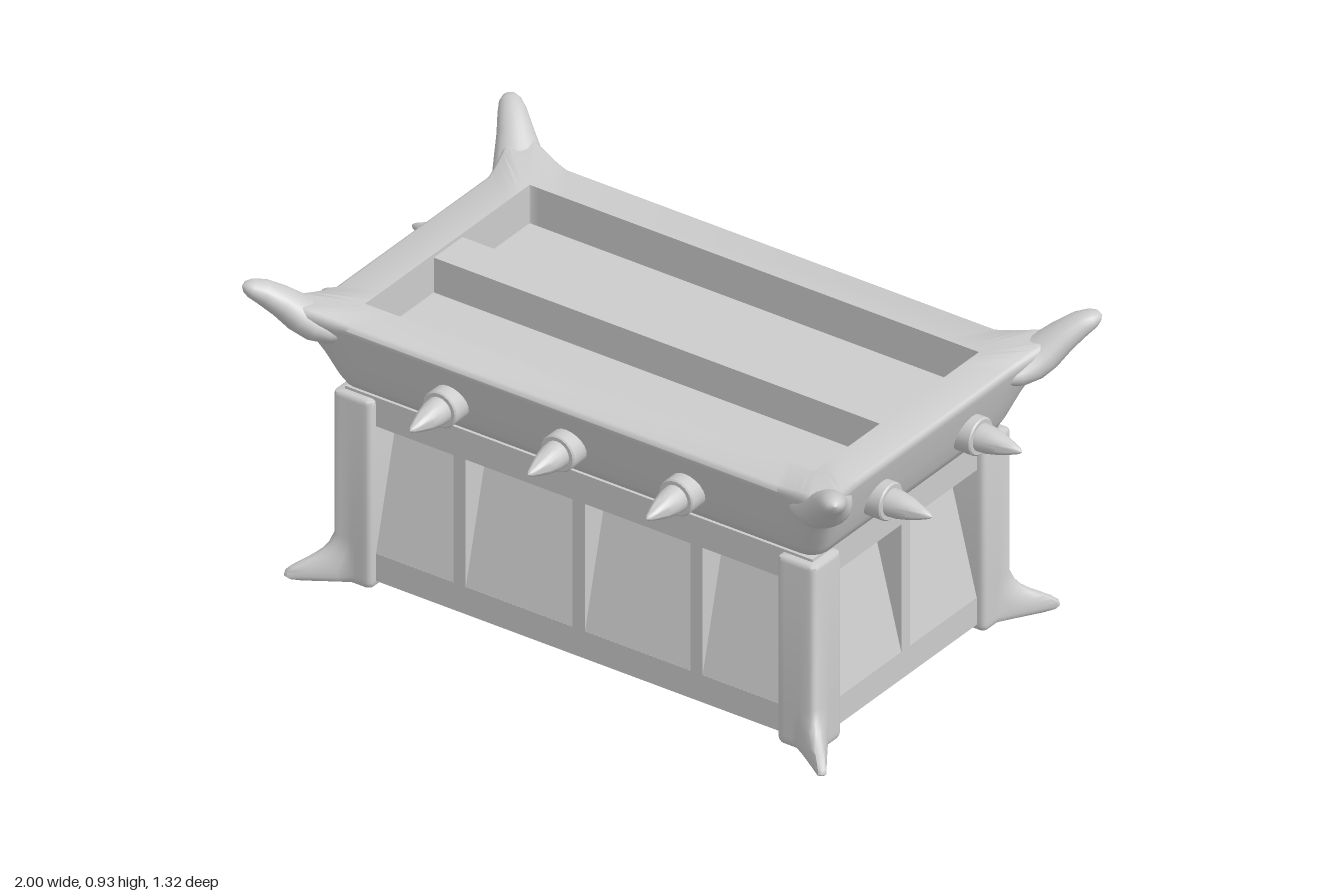
import * as THREE from 'three';
import { toCreasedNormals } from 'three/addons/utils/BufferGeometryUtils.js';

const grey = new THREE.MeshStandardMaterial({ color: 0xcccccc, side: THREE.DoubleSide });
grey.name = 'plainGrey';

// Joins closed rings of points into one smooth skin
function skin(rings) {
  const n = rings[0].length, index = [];
  for (let i = 0; i < rings.length - 1; i++) {
    for (let j = 0; j < n; j++) {
      const k = (j + 1) % n;
      const a = i * n + j, b = i * n + k, c = a + n, d = b + n;
      index.push(a, c, b, b, c, d);
    }
  }
  const geo = new THREE.BufferGeometry().setFromPoints(rings.flat());
  geo.setIndex(index);
  geo.computeVertexNormals();
  return geo;
}

// Tapered limb in the x-y plane; each station is [x, y, half width, half height]
function limb(stations, sides = 20) {
  return skin(stations.map(([x, y, w, h], i) => {
    const p = stations[Math.max(i - 1, 0)], q = stations[Math.min(i + 1, stations.length - 1)];
    const t = new THREE.Vector2(q[0] - p[0], q[1] - p[1]).normalize();
    return Array.from({ length: sides }, (_, j) => {
      const f = (j / sides) * Math.PI * 2, up = h * Math.sin(f);
      return new THREE.Vector3(x - t.y * up, y + t.x * up, w * Math.cos(f));
    });
  }));
}

// Horizontal rounded rectangle; the first `count` corners are pulled outward and lifted
function rectRing(hx, hz, y, r, { pull = 0, lift = 0, reach, count = 4, power = 1.3 }) {
  const ring = [];
  const steps = [1, 0.75, 0.5, 0.25];
  [[1, 1], [-1, 1], [-1, -1], [1, -1]].forEach(([sx, sz], c) => {
    const put = (a, s) => {
      const w = c < count ? (1 - Math.abs(s)) ** power : 0;
      ring.push(new THREE.Vector3(
        sx * (hx - r + pull * w) + r * Math.cos(a) - s * reach * Math.sin(a),
        y + lift * w,
        sz * (hz - r + pull * w) + r * Math.sin(a) + s * reach * Math.cos(a)));
    };
    const start = c * Math.PI / 2;
    for (const s of steps) put(start, -s);
    for (let i = 0; i <= 4; i++) put(start + i * Math.PI / 8, 0);
    for (const s of [...steps].reverse()) put(start + Math.PI / 2, s);
  });
  return ring;
}

// Profile in (z, y) extruded along x and centred
function prism(points, length) {
  const shape = new THREE.Shape(points.map(([z, y]) => new THREE.Vector2(z, y)));
  const geo = new THREE.ExtrudeGeometry(shape, { depth: length, bevelEnabled: false });
  return geo.translate(0, 0, -length / 2).rotateY(-Math.PI / 2);
}

export function createModel() {
  const model = new THREE.Group();
  model.name = 'spikedCrate';
  const add = (parent, name, geo, x = 0, y = 0, z = 0) => {
    const mesh = new THREE.Mesh(geo, grey);
    mesh.name = name;
    mesh.position.set(x, y, z);
    parent.add(mesh);
    return mesh;
  };

  // Base and upper rails
  add(model, 'baseRail', new THREE.BoxGeometry(1.53, 0.085, 0.85), 0, 0.0595, 0);
  add(model, 'upperRail', new THREE.BoxGeometry(1.53, 0.09, 0.85), 0, 0.543, 0);

  // Flared rim with an open top; its corners sweep up into the horns
  const rim = skin([
    [0.70, 0.36, 0.582, 0.03, 0, 0], [0.755, 0.405, 0.584, 0.04, 0, 0],
    [0.782, 0.432, 0.60, 0.05, 0, 0], [0.797, 0.447, 0.63, 0.05, 0, 0],
    [0.821, 0.468, 0.70, 0.05, 0.004, 0], [0.838, 0.484, 0.755, 0.05, 0.016, 0.008],
    [0.852, 0.498, 0.80, 0.05, 0.036, 0.02], [0.856, 0.503, 0.816, 0.05, 0.042, 0.026],
    [0.850, 0.497, 0.826, 0.05, 0.04, 0.03], [0.842, 0.489, 0.829, 0.05, 0.035, 0.03],
    [0.735, 0.375, 0.829, 0.003, 0, 0], [0.735, 0.375, 0.60, 0.003, 0, 0],
  ].map(([hx, hz, y, r, pull, lift]) => rectRing(hx, hz, y, r, { pull, lift, reach: 0.1 })));
  add(model, 'rim', toCreasedNormals(rim, 0.8));

  // Two wells inside the rim, parted by a long bar
  add(model, 'wellFloor', new THREE.BoxGeometry(1.472, 0.11, 0.752), 0, 0.655, 0);
  add(model, 'middleBar', new THREE.BoxGeometry(1.472, 0.12, 0.13), 0, 0.758, -0.003);

  // Corner posts whose outer corner runs out into a pointed foot: [half size, y, pull]
  const postGeo = toCreasedNormals(skin([
    [0.004, 0, 0], [0.058, 0, 0.07], [0.062, 0.008, 0.09], [0.063, 0.016, 0.096],
    [0.063, 0.028, 0.094], [0.063, 0.04, 0.082], [0.063, 0.052, 0.065], [0.063, 0.068, 0.042],
    [0.063, 0.085, 0.023], [0.063, 0.105, 0.01], [0.063, 0.135, 0], [0.063, 0.565, 0],
    [0.061, 0.575, 0], [0.054, 0.58, 0], [0.004, 0.58, 0],
  ].map(([h, y, pull]) => rectRing(h, h, y, h * 0.25, { pull, reach: h * 0.74, count: 1, power: 1.1 }))), 0.8);

  // Curved horns on the rim corners
  const hornGeo = limb([
    [0.05, 0.785, 0.09, 0.04], [0.10, 0.785, 0.085, 0.05], [0.14, 0.797, 0.075, 0.052],
    [0.175, 0.82, 0.065, 0.049], [0.22, 0.859, 0.051, 0.042], [0.27, 0.893, 0.04, 0.034],
    [0.302, 0.907, 0.031, 0.025], [0.318, 0.913, 0.019, 0.015], [0.326, 0.915, 0.0005, 0.0005],
  ]);
  [[1, 1], [1, -1], [-1, -1], [-1, 1]].forEach(([sx, sz], i) => {
    add(model, 'cornerPost', postGeo, sx * 0.727, 0, sz * 0.387).rotation.y = i * Math.PI / 2;
    add(model, 'horn', hornGeo, sx * 0.74, 0, sz * 0.378).rotation.y = Math.atan2(-sz, sx);
  });

  // Spike with its collar, pointing along +z
  const spikeGeo = toCreasedNormals(new THREE.LatheGeometry([
    [0.055, -0.06], [0.055, 0.016], [0.051, 0.02], [0.04, 0.02], [0.038, 0.05],
    [0.03, 0.085], [0.018, 0.12], [0.008, 0.145], [0, 0.153],
  ].map(([r, y]) => new THREE.Vector2(r, y)), 20).rotateX(Math.PI / 2), 0.6);

  // Four sides: slanted panels set behind dividers, spikes above
  const depth = 0.1, low = 0.1, high = 0.5;
  const wedge = [[0, low], [0, high], [-depth, high]];
  const long = { face: 0.425, half: 0.665, dividers: [-0.39, 0, 0.385], spikes: [-0.386, 0, 0.388], out: 0.505 };
  const short = { face: 0.765, half: 0.325, dividers: [0], spikes: [-0.205, 0.205], out: 0.846 };
  ['front', 'left', 'back', 'right'].forEach((name, i) => {
    const s = i % 2 ? short : long;
    const side = new THREE.Group();
    side.name = name + 'Side';
    side.rotation.y = i * Math.PI / 2;
    model.add(side);
    const panel = new THREE.PlaneGeometry(s.half * 2, Math.hypot(depth, high - low));
    panel.rotateX(-Math.atan2(depth, high - low));
    add(side, 'slantedPanel', panel, 0, (low + high) / 2, s.face - depth / 2);
    for (const x of s.dividers) add(side, 'divider', prism(wedge, 0.04), x, 0, s.face);
    for (const x of s.spikes) add(side, 'spike', spikeGeo, i < 2 ? x : -x, 0.695, s.out);
  });
  return model;
}
